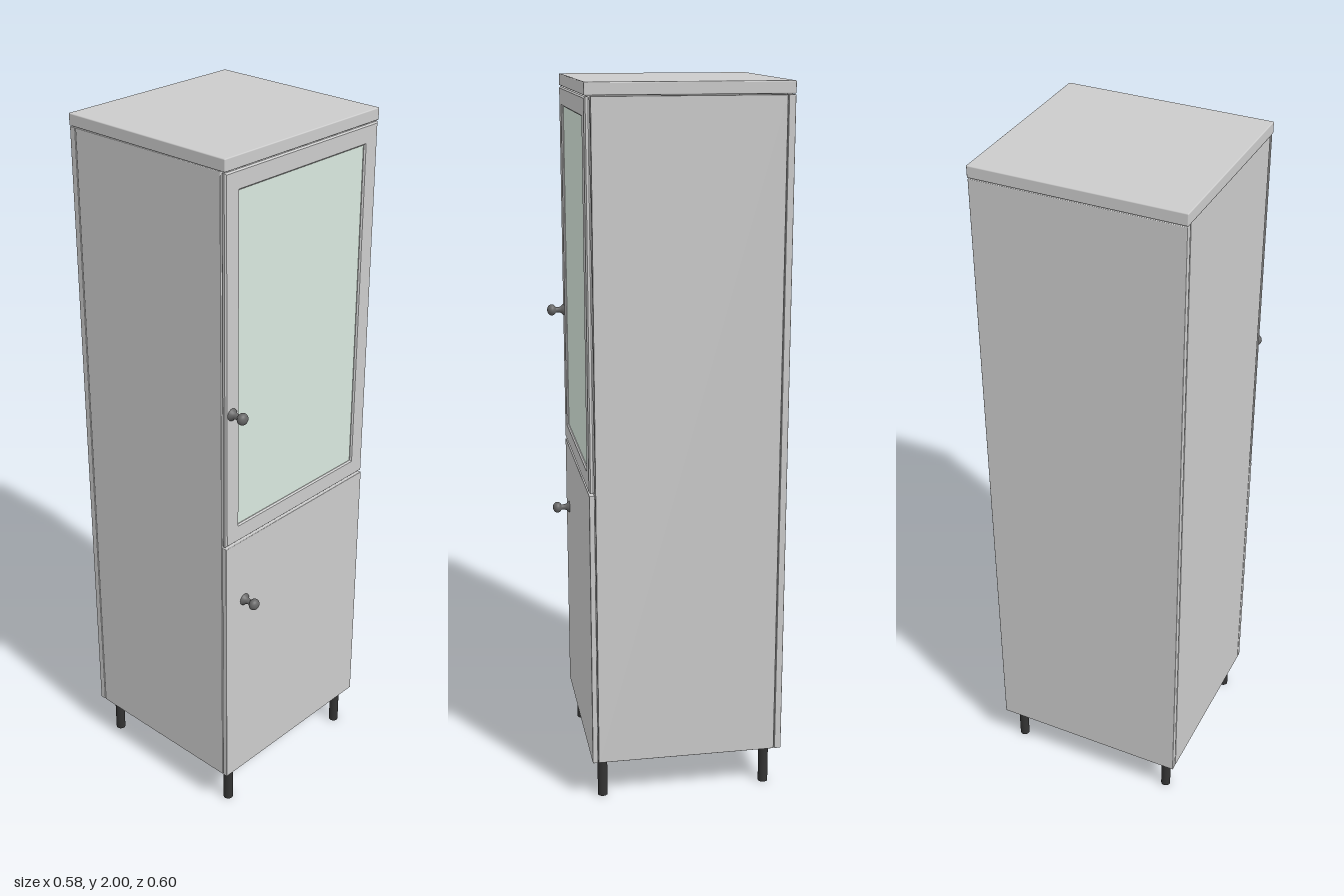
import * as THREE from 'three';
import { RoundedBoxGeometry } from 'three/addons/geometries/RoundedBoxGeometry.js';

const grey = new THREE.MeshStandardMaterial({ color: 0xcccccc });
const glassGreen = new THREE.MeshStandardMaterial({ color: 0xd9e8de });
const legBlack = new THREE.MeshStandardMaterial({ color: 0x333333 });
const knobDark = new THREE.MeshStandardMaterial({ color: 0x666666 });

export function createModel() {
  const cabinet = new THREE.Group();
  cabinet.name = 'cabinet';

  const add = (name, geometry, material, x = 0, y = 0, z = 0) => {
    const mesh = new THREE.Mesh(geometry, material);
    mesh.name = name;
    mesh.position.set(x, y, z);
    cabinet.add(mesh);
    return mesh;
  };
  // Softly rounded board given by its limits on each axis
  const board = (name, [x0, x1], [y0, y1], [z0, z1], radius = 0.002) =>
    add(name, new RoundedBoxGeometry(x1 - x0, y1 - y0, z1 - z0, 2, radius), grey,
      (x0 + x1) / 2, (y0 + y1) / 2, (z0 + z1) / 2);

  // Carcass
  board('topPanel', [-0.29, 0.29], [1.967, 2], [-0.3, 0.247], 0.003);
  board('leftSide', [0.27, 0.288], [0.12, 1.965], [-0.279, 0.23]);
  board('rightSide', [-0.288, -0.27], [0.12, 1.965], [-0.279, 0.23]);
  board('backPanel', [-0.288, 0.288], [0.12, 1.965], [-0.3, -0.281]);
  board('bottomPanel', [-0.27, 0.27], [0.122, 0.14], [-0.281, 0.07]);
  board('middleShelf', [-0.27, 0.27], [0.91, 0.928], [-0.281, 0.228]);

  // Lower solid door
  board('lowerDoor', [-0.288, 0.288], [0.12, 0.917], [0.232, 0.247]);

  // Upper door: frame with a bevelled opening around a glass pane
  const rect = (Target, hw, hh) => {
    const p = new Target();
    p.moveTo(-hw, -hh);
    p.lineTo(hw, -hh);
    p.lineTo(hw, hh);
    p.lineTo(-hw, hh);
    p.closePath();
    return p;
  };
  const doorY = (0.923 + 1.964) / 2;
  const frame = rect(THREE.Shape, 0.284, 0.5165);
  frame.holes.push(rect(THREE.Path, 0.241, 0.472));
  add('upperDoorFrame', new THREE.ExtrudeGeometry(frame, {
    depth: 0.007, bevelEnabled: true, bevelThickness: 0.004, bevelSize: 0.004, bevelSegments: 1,
  }), grey, 0, doorY, 0.236);
  add('glassPane', new THREE.BoxGeometry(0.484, 0.946, 0.004), glassGreen, 0, doorY, 0.239);

  // Turned knobs: flared foot, thin neck and ball
  const profile = [[0.017, 0], [0.016, 0.003], [0.011, 0.008], [0.008, 0.014], [0.008, 0.022]]
    .map(([r, h]) => new THREE.Vector2(r, h));
  for (let i = 0; i <= 14; i++) {
    const a = -Math.PI / 3 + (i / 14) * (Math.PI * 5 / 6);
    profile.push(new THREE.Vector2(Math.max(0, 0.0165 * Math.cos(a)), 0.0365 + 0.0135 * Math.sin(a)));
  }
  const knob = new THREE.LatheGeometry(profile, 24).rotateX(Math.PI / 2);
  add('upperKnob', knob, knobDark, -0.265, 1.32, 0.247);
  add('lowerKnob', knob, knobDark, -0.215, 0.72, 0.247);

  // Round legs
  const leg = new THREE.CylinderGeometry(0.014, 0.014, 0.122, 24);
  for (const x of [-0.248, 0.248])
    for (const z of [0.215, -0.258]) add('leg', leg, legBlack, x, 0.061, z);

  return cabinet;
}
